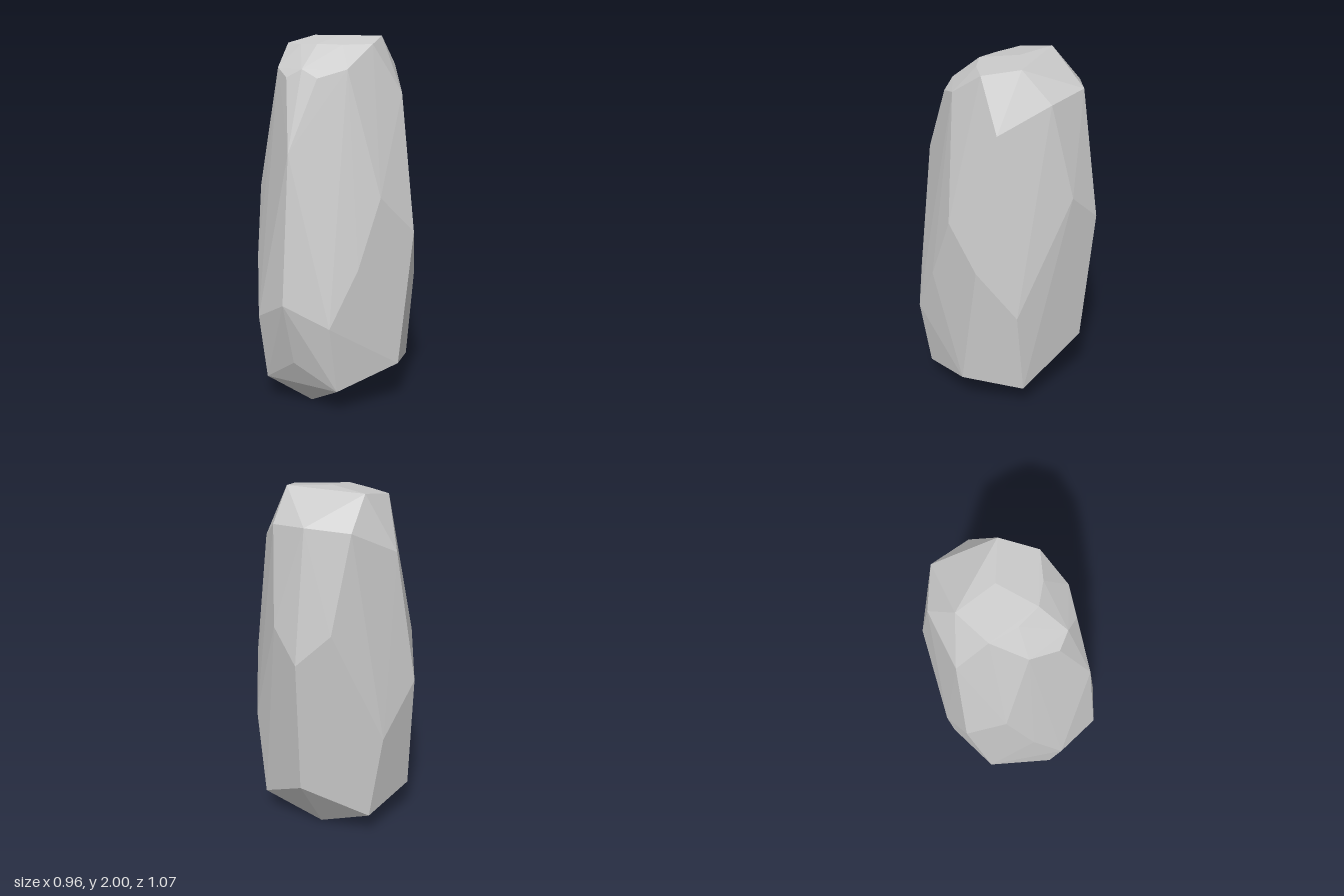
import * as THREE from 'three';
import { ConvexGeometry } from 'three/addons/geometries/ConvexGeometry.js';

export function createModel() {
  const group = new THREE.Group();
  group.name = 'rock';

  // Corners as [half width, height, depth]; each is mirrored about a slightly leaning axis
  const corners = [
    // foot ridge and lower bevels
    [0, 0, 0.265], [0, 0, -0.185], [0.225, 0.13, 0.37], [0.437, 0.235, 0.065],
    [0.325, 0.17, -0.26], [0, 0.275, 0.44], [0, 0.4, -0.475],
    // belly
    [0.225, 0.5, 0.437], [0, 0.62, 0.535], [0.385, 0.67, -0.24],
    [0.32, 0.8, 0.295], [0.48, 0.96, -0.042], [0.25, 1.0, -0.36],
    // shoulders
    [0.383, 1.17, 0.157], [0, 1.17, -0.535], [0.16, 1.33, -0.452],
    [0, 1.41, 0.452], [0.372, 1.7, -0.113],
    // crown
    [0.095, 1.79, 0.306], [0, 1.835, 0.302], [0.216, 1.835, 0.202],
    [0.213, 1.84, -0.34], [0, 1.87, -0.433], [0.267, 1.96, 0.02],
    [0.13, 1.955, 0.105], [0, 1.96, 0.145],
    [0.215, 2, -0.178], [0.098, 2, -0.172], [0, 2, -0.08],
  ];

  const points = [];
  for (const [w, y, z] of corners) {
    const axis = 0.012 - 0.016 * y;
    for (const side of w ? [-1, 1] : [0]) {
      points.push(new THREE.Vector3(axis + side * w, y, z));
    }
  }

  // Faceted stone body
  const stone = new THREE.Mesh(
    new ConvexGeometry(points),
    new THREE.MeshStandardMaterial({ color: 0xcccccc, flatShading: true })
  );
  stone.name = 'stone';
  group.add(stone);
  return group;
}
